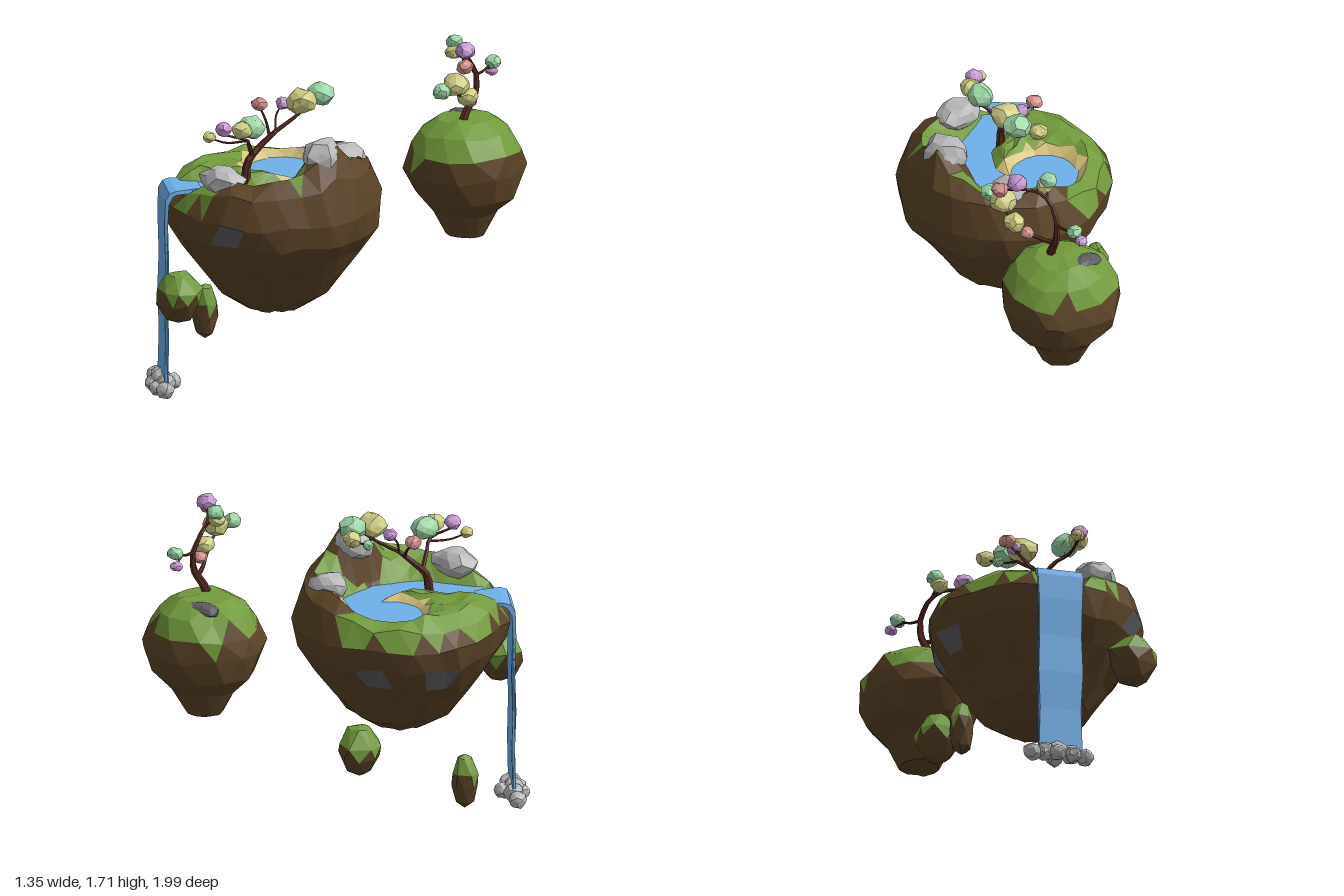
import * as THREE from 'three';

const COLORS = {
  grass: 0x729a3c, earth: 0x5c4427, sand: 0xd6c27c, slate: 0x5c5c60, water: 0x6eb0ea, stone: 0xb8b8b8,
  bark: 0x5a2a22, yellow: 0xcfcd82, green: 0x9cd6a6, pink: 0xd6928e, purple: 0xc898d4,
};
const mats = {};
const mat = (key) => (mats[key] ??= new THREE.MeshStandardMaterial({ color: COLORS[key], flatShading: true }));
const { clamp, smoothstep } = THREE.MathUtils;

// Repeatable noise in -1..1 from three numbers
const hash = (a, b, c = 0) => {
  const s = Math.sin(a * 127.1 + b * 311.7 + c * 74.7) * 43758.5453;
  return (s - Math.floor(s)) * 2 - 1;
};

function mesh(name, geometry, key, parent) {
  const m = new THREE.Mesh(geometry, mat(key));
  m.name = name;
  parent.add(m);
  return m;
}

// Faceted landmass: rings [radius, y] from top centre to bottom centre, each face painted by a rule
function island(name, { x: cx, z: cz, rings, segs, jitter, height, paint, seed = 0 }) {
  const group = new THREE.Group();
  group.name = name;
  const maxR = Math.max(...rings.map((r) => r[0]));
  const point = (i, j) => {
    j %= segs;
    const [r, y] = rings[i];
    const k = Math.min(1, (r / maxR) * 1.5);
    const a = ((j + (i % 2) * 0.5 + hash(i, j, seed) * 0.25) / segs) * Math.PI * 2;
    const rr = r * (1 + hash(i, j, seed + 5) * jitter);
    const px = cx + rr * Math.cos(a), pz = cz + rr * Math.sin(a);
    const py = y === null ? height(px, pz) : y + hash(i, j, seed + 9) * jitter * maxR * k;
    return new THREE.Vector3(px, py, pz);
  };
  const faces = {};
  const face = (a, b, c) => {
    const n = b.clone().sub(a).cross(c.clone().sub(a));
    if (n.length() < 1e-7) return;
    const mid = a.clone().add(b).add(c).divideScalar(3);
    (faces[paint(mid, n.normalize())] ??= []).push(...a.toArray(), ...b.toArray(), ...c.toArray());
  };
  for (let i = 0; i < rings.length - 1; i++) {
    for (let j = 0; j < segs; j++) {
      const a = point(i, j), b = point(i + 1, j), c = point(i + 1, j + 1), d = point(i, j + 1);
      if (i % 2) { face(a, c, b); face(a, d, c); } else { face(a, d, b); face(d, c, b); }
    }
  }
  for (const key in faces) {
    const g = new THREE.BufferGeometry();
    g.setAttribute('position', new THREE.Float32BufferAttribute(faces[key], 3));
    g.computeVertexNormals();
    mesh(name + '_' + key, g, key, group);
  }
  return group;
}

// Irregular faceted lump used for boulders and foliage
function lump(name, [x, y, z], [sx, sy, sz], key, parent) {
  const g = new THREE.IcosahedronGeometry(1, 1);
  const p = g.attributes.position;
  for (let i = 0; i < p.count; i++) {
    const q = [p.getX(i), p.getY(i), p.getZ(i)].map((v) => Math.round(v * 100));
    const s = 1 + 0.12 * hash(q[0] + x * 9, q[1] + y * 7, q[2] + z * 5);
    p.setXYZ(i, p.getX(i) * s, p.getY(i) * s, p.getZ(i) * s);
  }
  g.rotateY(x * 20 + z * 7).scale(sx, sy, sz).translate(x, y, z);
  g.computeVertexNormals();
  mesh(name, g, key, parent);
}

// Tapered branch along a curve
function branch(points, r0, r1, parent) {
  const n = 8, sides = 6;
  const curve = new THREE.CatmullRomCurve3(points.map((p) => new THREE.Vector3(...p)));
  const g = new THREE.TubeGeometry(curve, n, r0, sides);
  const p = g.attributes.position, v = new THREE.Vector3();
  for (let i = 0; i < p.count; i++) {
    const t = Math.floor(i / (sides + 1)) / n;
    v.fromBufferAttribute(p, i).lerp(curve.getPointAt(t), (1 - r1 / r0) * t);
    p.setXYZ(i, v.x, v.y, v.z);
  }
  g.computeVertexNormals();
  mesh('branch', g, 'bark', parent);
}

function tree(name, branches, leaves, parent) {
  const g = new THREE.Group();
  g.name = name;
  branches.forEach(([r0, r1, ...pts]) => branch(pts, r0, r1, g));
  leaves.forEach(([x, y, z, r, key]) => lump('foliage', [x, y, z], [r * 1.08, r * 0.92, r * 1.08], key, g));
  parent.add(g);
}

// Signed distance to the edge of the pool and river
const river = [[-0.1, 0.04], [0.03, 0.1], [0.03, 0.28], [-0.08, 0.44], [-0.28, 0.52], [-0.6, 0.68]];
function shore(x, z) {
  let d = Math.hypot(x + 0.2, z - 0.05) - 0.17;
  for (let i = 0; i < river.length - 1; i++) {
    const [ax, az] = river[i], dx = river[i + 1][0] - ax, dz = river[i + 1][1] - az;
    const t = clamp(((x - ax) * dx + (z - az) * dz) / (dx * dx + dz * dz), 0, 1);
    d = Math.min(d, Math.hypot(x - ax - dx * t, z - az - dz * t) - 0.085);
  }
  return d;
}

const CX = -0.11, CZ = 0.25, WATER = 1.075;
const peakDist = (x, z) => Math.hypot(x - 0.23, z - 0.3);

// Ground height on top of the main island
function ground(x, z) {
  const d = shore(x, z), r = Math.hypot(x - CX, z - CZ), east = (x - CX) / (r + 0.01);
  const land = smoothstep(d, 0, 0.08);
  const ridge = smoothstep(r, 0.28, 0.42) * (0.01 + 0.06 * smoothstep(east, -0.6, 0.3));
  const fall = 0.06 * smoothstep(r, 0.43, 0.51);
  const peak = 0.2 * Math.exp(-((peakDist(x, z) / 0.1) ** 2) / 2);
  return WATER + clamp(d * 0.9, -0.05, 0.045) + land * (ridge - fall + peak + 0.015 * hash(x, z));
}

const slatePatches = [[-0.05, 0.94, 0.76, 0.07], [-0.55, 0.85, 0.05, 0.07], [-0.3, 0.85, -0.18, 0.06]];

function paintMain(p, n) {
  const r = Math.hypot(p.x - CX, p.z - CZ);
  if (slatePatches.some(([x, y, z, s]) => Math.hypot(p.x - x, p.y - y, p.z - z) < s)) return 'slate';
  if (n.y < 0.1 || p.y < 1.03 + 0.03 * hash(p.x, p.z)) return p.y > 1.02 && r < 0.42 ? 'sand' : 'earth';
  if (shore(p.x, p.z) < 0.05 && r < 0.42 && p.x < -0.02 && p.z < 0.25) return 'sand';
  if (peakDist(p.x, p.z) < 0.14) return 'earth';
  if (p.x > -0.12 && r > 0.41 + 0.04 * hash(p.z, p.x)) return 'earth';
  return 'grass';
}

export function createModel() {
  const model = new THREE.Group();
  model.name = 'floatingIslands';

  // Main island with carved river bed
  const top = [0, 0.06, 0.12, 0.18, 0.24, 0.3, 0.36, 0.42, 0.49].map((r) => [r, null]);
  model.add(island('mainIsland', {
    x: CX, z: CZ, segs: 28, jitter: 0.028, height: ground, paint: paintMain,
    rings: [...top, [0.537, 0.99], [0.515, 0.87], [0.445, 0.76], [0.36, 0.64], [0.27, 0.52], [0.14, 0.435], [0, 0.42]],
  }));

  // Distant island and three small floating rocks
  const grassAbove = (h, wob) => (p, n) => (p.y > h + wob * hash(p.x, p.z) && n.y > -0.2 ? 'grass' : 'earth');
  model.add(island('backIsland', {
    x: 0.377, z: -0.69, segs: 13, jitter: 0.045, seed: 3, paint: grassAbove(1.09, 0.05),
    rings: [[0, 1.265], [0.13, 1.255], [0.225, 1.19], [0.285, 1.1], [0.303, 1.0], [0.255, 0.87], [0.165, 0.775], [0.1, 0.65], [0, 0.635]],
  }));
  [[-0.235, 0.89, 0.48, 0.27, 0.118, 0.2], [-0.24, -0.23, 0.31, 0.27, 0.112, 0.15], [-0.62, 0.13, 0.125, 0.285, 0.066, 0.3]]
    .forEach(([x, z, y, h, r, bottom], i) => model.add(island('smallIsland', {
      x, z, segs: 7, jitter: 0.1, seed: 20 + i, paint: grassAbove(y + h * 0.56, 0.02),
      rings: [[0, y + h], [r * 0.5, y + h * 0.94], [r, y + h * 0.66], [r * 0.95, y + h * 0.4], [r * (0.4 + bottom), y + h * 0.12], [0, y]],
    })));

  // Pool and river surface, showing wherever the bed dips below it
  const pool = new THREE.CircleGeometry(0.44, 24).rotateX(-Math.PI / 2).translate(CX, WATER, CZ);
  mesh('riverSurface', pool, 'water', model);

  // Waterfall: a thin bent sheet spilling over the rim, narrowing back into the river
  const outer = [[-0.16, 1.079], [-0.03, 1.079], [0.005, 1.068], [0.026, 1.03], [0.03, 0.9], [0.024, 0.7], [0.03, 0.5], [0.024, 0.3], [0.03, 0.04]];
  const inner = outer.map(([o, y], i) => [o - (i < 2 ? 0 : 0.018), y - (i < 4 ? 0.02 : 0)]).reverse();
  const sheet = new THREE.Shape([...outer, ...inner].map(([o, y]) => new THREE.Vector2(o, y)));
  const fall = new THREE.ExtrudeGeometry(sheet, { depth: 0.22, bevelEnabled: false, steps: 2 }).translate(0, 0, -0.11);
  const fp = fall.attributes.position;
  for (let i = 0; i < fp.count; i++) {
    const back = fp.getX(i) < -0.1 ? 0.7 : 1;
    fp.setZ(i, fp.getZ(i) * back * (1 + 0.06 * Math.sin(fp.getY(i) * 14)));
  }
  fall.computeVertexNormals();
  const waterfall = mesh('waterfall', fall, 'water', model);
  waterfall.rotation.y = (-3 * Math.PI) / 4;
  waterfall.position.set(-0.498, 0, 0.622);

  // Boulders on the islands
  lump('peakBoulder', [0.23, 1.28, 0.31], [0.105, 0.095, 0.115], 'stone', model);
  lump('frontBoulder', [-0.15, 1.165, 0.63], [0.125, 0.075, 0.09], 'stone', model);
  lump('backBoulder', [0.12, 1.165, -0.03], [0.105, 0.08, 0.09], 'stone', model);
  lump('slateSlab', [0.32, 1.22, -0.78], [0.11, 0.04, 0.06], 'slate', model);

  // Stones at the foot of the waterfall
  [[-0.625, 0.045, 0.54, 0.046], [-0.57, 0.06, 0.58, 0.05], [-0.53, 0.07, 0.63, 0.05], [-0.47, 0.06, 0.67, 0.05],
    [-0.43, 0.045, 0.73, 0.046], [-0.56, 0.04, 0.65, 0.042], [-0.5, 0.04, 0.7, 0.042], [-0.49, 0.05, 0.59, 0.045]]
    .forEach(([x, y, z, r]) => lump('footStone', [x, y, z], [r, r * 0.95, r], 'stone', model));

  // Spreading tree on the main island
  tree('mainTree', [
    [0.024, 0.012, [-0.2, 1.08, 0.37], [-0.19, 1.19, 0.36], [-0.16, 1.26, 0.3], [-0.11, 1.33, 0.24]],
    [0.012, 0.005, [-0.11, 1.33, 0.24], [-0.05, 1.4, 0.14], [-0.02, 1.45, 0.08], [0, 1.48, 0.02]],
    [0.007, 0.004, [-0.04, 1.42, 0.11], [-0.07, 1.42, 0.03], [-0.06, 1.46, -0.05]],
    [0.009, 0.004, [-0.13, 1.3, 0.26], [-0.18, 1.36, 0.22], [-0.25, 1.42, 0.18]],
    [0.007, 0.004, [-0.11, 1.33, 0.24], [-0.14, 1.4, 0.19], [-0.13, 1.45, 0.15]],
    [0.013, 0.005, [-0.18, 1.22, 0.34], [-0.16, 1.3, 0.4], [-0.13, 1.34, 0.46], [-0.19, 1.38, 0.56]],
    [0.007, 0.004, [-0.14, 1.33, 0.45], [-0.2, 1.33, 0.53], [-0.26, 1.36, 0.59]],
  ], [
    [0.01, 1.49, 0.02, 0.065, 'green'], [-0.02, 1.48, 0.14, 0.07, 'yellow'], [-0.055, 1.47, -0.06, 0.044, 'yellow'],
    [-0.085, 1.42, 0.03, 0.026, 'green'], [-0.25, 1.43, 0.18, 0.038, 'pink'], [-0.13, 1.45, 0.15, 0.033, 'purple'],
    [-0.12, 1.4, 0.43, 0.063, 'green'], [-0.12, 1.405, 0.51, 0.048, 'yellow'], [-0.195, 1.41, 0.56, 0.039, 'purple'],
    [-0.26, 1.365, 0.59, 0.03, 'yellow'],
  ], model);

  // Curling tree on the back island
  tree('backTree', [
    [0.024, 0.014, [0.4, 1.23, -0.63], [0.41, 1.3, -0.66], [0.43, 1.39, -0.71], [0.43, 1.48, -0.715]],
    [0.014, 0.005, [0.43, 1.48, -0.715], [0.42, 1.56, -0.67], [0.43, 1.61, -0.6], [0.48, 1.625, -0.53], [0.56, 1.61, -0.44]],
    [0.008, 0.004, [0.43, 1.48, -0.715], [0.43, 1.48, -0.77], [0.43, 1.51, -0.85]],
    [0.006, 0.003, [0.43, 1.49, -0.79], [0.42, 1.48, -0.83], [0.41, 1.46, -0.87]],
    [0.012, 0.005, [0.42, 1.35, -0.69], [0.46, 1.36, -0.6], [0.5, 1.4, -0.52], [0.52, 1.48, -0.42], [0.51, 1.51, -0.31]],
    [0.007, 0.004, [0.42, 1.59, -0.64], [0.4, 1.62, -0.61], [0.38, 1.66, -0.6]],
    [0.007, 0.004, [0.46, 1.62, -0.56], [0.49, 1.64, -0.53], [0.51, 1.67, -0.51]],
  ], [
    [0.435, 1.51, -0.85, 0.036, 'green'], [0.41, 1.455, -0.87, 0.028, 'purple'], [0.51, 1.67, -0.51, 0.046, 'purple'],
    [0.56, 1.615, -0.44, 0.039, 'pink'], [0.52, 1.52, -0.42, 0.062, 'yellow'], [0.51, 1.51, -0.31, 0.043, 'green'],
    [0.38, 1.67, -0.6, 0.04, 'green'], [0.39, 1.625, -0.58, 0.04, 'yellow'], [0.525, 1.435, -0.51, 0.05, 'yellow'],
    [0.5, 1.39, -0.57, 0.033, 'pink'],
  ], model);

  return model;
}
